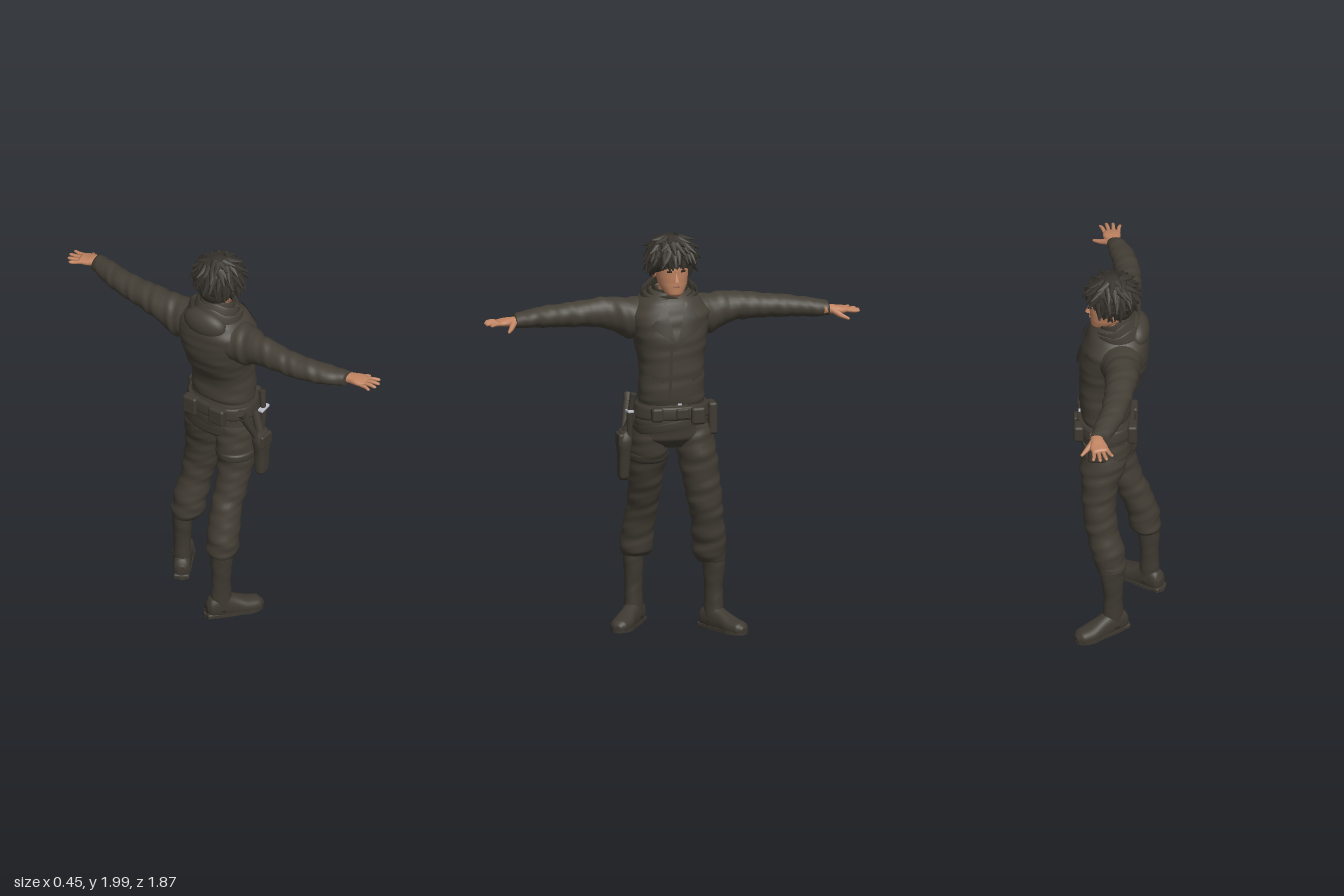
import * as THREE from 'three';
import { mergeGeometries } from 'three/addons/utils/BufferGeometryUtils.js';
import { RoundedBoxGeometry } from 'three/addons/geometries/RoundedBoxGeometry.js';

const V = (x, y, z) => new THREE.Vector3(x, y, z);
const mat = (name, color, side = THREE.FrontSide) => {
  const m = new THREE.MeshStandardMaterial({ color, side });
  m.name = name;
  return m;
};

// Closed skin over oval rings. Row: [along, centreU, centreV, radiusU, radiusV].
// Axis y uses u=x, v=z; axis z uses u=y, v=x; axis x uses u=z, v=y.
function loft(rows, axis, { fold = 0, power = 1, sides = 28, steps = 8, floor = -1 } = {}) {
  const centre = new THREE.CatmullRomCurve3(rows.map(r => V(r[0], r[1], r[2])));
  const radius = new THREE.CatmullRomCurve3(rows.map(r => V(r[3], r[4], 0)));
  const put = { y: (w, u, v) => [u, w, v], z: (w, u, v) => [v, u, w], x: (w, u, v) => [w, v, u] }[axis];
  const pos = [], index = [], n = (rows.length - 1) * steps;
  const soft = t => Math.sign(t) * Math.abs(t) ** power;
  const add = (w, u, v) => { const p = put(w, u, v); pos.push(p[0], Math.max(p[1], floor), p[2]); };
  for (let i = 0; i <= n; i++) {
    const c = centre.getPoint(i / n), r = radius.getPoint(i / n);
    for (let j = 0; j < sides; j++) {
      const a = j / sides * Math.PI * 2;
      const k = 1 + fold * (Math.sin(c.x * 75 + 2.5 * Math.sin(a + 1)) + 0.7 * Math.sin(c.x * 43 - 2 * a) + 0.5 * Math.sin(c.x * 120 + 3 * a));
      add(c.x, c.y + r.x * k * soft(Math.cos(a)), c.z + r.y * k * soft(Math.sin(a)));
    }
  }
  for (let i = 0; i < n; i++) for (let j = 0; j < sides; j++) {
    const a = i * sides + j, b = i * sides + (j + 1) % sides;
    index.push(a, a + sides, b, b, a + sides, b + sides);
  }
  const first = rows[0], last = rows[rows.length - 1], base = (n + 1) * sides;
  add(first[0], first[1], first[2]);
  add(last[0], last[1], last[2]);
  for (let j = 0; j < sides; j++) {
    const k = (j + 1) % sides;
    index.push(base, j, k, base + 1, n * sides + k, n * sides + j);
  }
  const g = new THREE.BufferGeometry();
  g.setAttribute('position', new THREE.Float32BufferAttribute(pos, 3));
  g.setIndex(index);
  g.computeVertexNormals();
  return g;
}

// Tapered rod between two points
function rod(a, b, r0, r1 = r0, sides = 12) {
  const d = b.clone().sub(a), g = new THREE.CylinderGeometry(r1, r0, d.length(), sides);
  g.applyQuaternion(new THREE.Quaternion().setFromUnitVectors(V(0, 1, 0), d.normalize()));
  const m = a.clone().add(b).multiplyScalar(0.5);
  return g.translate(m.x, m.y, m.z);
}

const torsoRows = [
  [1.17, 0.06, 0, 0.115, 0.158], [1.2, 0.06, 0.003, 0.124, 0.162], [1.3, 0.06, 0, 0.128, 0.158],
  [1.4, 0.036, 0, 0.152, 0.163], [1.5, 0.02, 0, 0.166, 0.183], [1.6, 0.006, 0, 0.158, 0.2],
  [1.67, 0, 0, 0.135, 0.155], [1.72, 0, 0, 0.09, 0.09]];

// Cloth panel laid on the chest; corners are [y, z]
function chestPatch(c, lift) {
  const g = new THREE.PlaneGeometry(1, 1, 8, 8), p = g.attributes.position, mix = THREE.MathUtils.lerp;
  for (let i = 0; i < p.count; i++) {
    const s = p.getX(i) + 0.5, t = p.getY(i) + 0.5;
    const at = k => mix(mix(c[0][k], c[1][k], s), mix(c[3][k], c[2][k], s), t);
    const y = at(0), z = at(1);
    const n = Math.max(0, torsoRows.findIndex(r => r[0] > y) - 1), A = torsoRows[n], B = torsoRows[n + 1];
    const f = (y - A[0]) / (B[0] - A[0]), q = k => mix(A[k], B[k], f);
    const x = q(1) + q(3) * Math.max(0, 1 - Math.abs(z / q(4)) ** 2.35) ** 0.425;
    p.setXYZ(i, x + lift, y, z);
  }
  g.computeVertexNormals();
  return g;
}

export function createModel() {
  const root = new THREE.Group();
  const jacket = mat('jacket cloth', 0x443f36), trim = mat('jacket trim', 0x3f3a32, THREE.DoubleSide);
  const trouser = mat('trouser cloth', 0x423d34), leather = mat('leather', 0x3e3931);
  const hairMat = mat('dark hair', 0x37332d), skin = mat('skin', 0xc08462);
  const metal = mat('metal', 0xb8bac4), dark = mat('eye dark', 0x2a2420), lip = mat('lips', 0x9c6450);
  const add = (name, g, m, parent = root) => {
    const mesh = new THREE.Mesh(g, m);
    mesh.name = name;
    parent.add(mesh);
    return mesh;
  };

  // Jacket body, lapels and front closure
  add('jacketBody', loft(torsoRows, 'y', { fold: 0.008, power: 0.85, sides: 40 }), jacket);
  add('rightLapel', chestPatch([[1.47, 0.01], [1.57, 0.125], [1.6, 0.1], [1.68, 0.05]], 0.013), trim);
  add('leftLapel', chestPatch([[1.45, 0.015], [1.57, -0.14], [1.61, -0.11], [1.68, -0.05]], 0.016), trim);
  add('frontFlap', chestPatch([[1.2, 0.05], [1.2, 0.035], [1.46, 0.025], [1.46, 0.04]], 0.012), trim);
  for (const s of [1, -1]) add('pocketFlap', chestPatch([[1.29, s * 0.07], [1.31, s * 0.125], [1.33, s * 0.125], [1.31, s * 0.07]], 0.01), trim);

  // Scarf and hood rolls, lower at the front
  const roll = (name, x, y, rx, rz, r, tilt) => {
    const g = new THREE.TorusGeometry(1, r, 14, 48).rotateX(Math.PI / 2).scale(rx, 1, rz);
    const p = g.attributes.position;
    for (let i = 0; i < p.count; i++) {
      const a = Math.atan2(p.getZ(i), p.getX(i));
      p.setY(i, p.getY(i) * (1 + 0.15 * Math.sin(5 * a)) + 0.006 * Math.sin(3 * a + x * 90));
    }
    g.rotateZ(-tilt).translate(x, y, -0.003);
    g.computeVertexNormals();
    add(name, g, jacket);
  };
  roll('hoodRoll', -0.005, 1.675, 0.115, 0.135, 0.045, 0.32);
  roll('scarfMiddle', 0.01, 1.695, 0.1, 0.11, 0.042, 0.38);
  roll('scarfTop', 0.012, 1.725, 0.085, 0.085, 0.035, 0.36);
  const hood = add('hoodBack', new THREE.SphereGeometry(1, 24, 16), jacket);
  hood.scale.set(0.06, 0.075, 0.12);
  hood.position.set(-0.095, 1.67, 0);

  // Sleeves
  add('rightSleeve', loft([[0.1, 1.58, -0.01, 0.1, 0.11], [0.2, 1.575, -0.02, 0.1, 0.095], [0.3, 1.6, -0.043, 0.078, 0.066],
    [0.42, 1.602, -0.05, 0.064, 0.063], [0.5, 1.6, -0.048, 0.059, 0.062], [0.6, 1.602, -0.036, 0.053, 0.062],
    [0.7, 1.603, -0.012, 0.043, 0.058], [0.775, 1.602, 0.014, 0.034, 0.044]], 'z', { fold: 0.025 }), jacket);
  add('leftSleeve', loft([[-0.775, 1.59, 0.085, 0.036, 0.046], [-0.7, 1.592, 0.06, 0.046, 0.057], [-0.6, 1.597, 0.026, 0.053, 0.062],
    [-0.5, 1.6, 0.005, 0.058, 0.066], [-0.4, 1.604, -0.01, 0.065, 0.073], [-0.3, 1.6, -0.02, 0.077, 0.08],
    [-0.2, 1.575, -0.015, 0.1, 0.095], [-0.1, 1.58, -0.01, 0.1, 0.11]], 'z', { fold: 0.025 }), jacket);

  // Hands: palm, four fingers and a thumb
  const hand = (name, down) => {
    const h = new THREE.Group();
    h.name = name;
    add('palm', loft([[-0.03, 0, 0, 0.022, 0.028], [0.02, 0, 0.003, 0.022, 0.032], [0.06, 0.002, 0.006, 0.018, 0.043],
      [0.09, 0, 0.004, 0.014, 0.041], [0.1, 0, 0.004, 0.007, 0.032]], 'z', { power: 0.85 }), skin, h);
    [-0.029, -0.007, 0.015, 0.036].forEach((x, i) => {
      const len = [0.052, 0.07, 0.073, 0.06][i], out = x * 0.45;
      add('finger', loft([[0.08, 0, x, 0.008, 0.009], [0.09 + len * 0.5, 0.003, x + out * 0.5, 0.009, 0.0095],
        [0.083 + len, 0, x + out, 0.007, 0.008], [0.09 + len, 0, x + out, 0.002, 0.002]], 'z', { sides: 10, steps: 4 }), skin, h);
    });
    const a = V(0.02, 0, 0.015), b = V(0.062, down * 0.02, 0.045), c = V(0.092, down * 0.028, 0.068);
    add('thumbBase', rod(a, b, 0.017, 0.012), skin, h);
    add('thumbTip', rod(b, c, 0.012, 0.007), skin, h);
    for (const [p, r] of [[b, 0.012], [c, 0.007]]) add('thumbJoint', new THREE.SphereGeometry(r, 10, 8).translate(p.x, p.y, p.z), skin, h);
    root.add(h);
    return h;
  };
  const rh = hand('rightHand', -1);
  rh.position.set(0.022, 1.604, 0.77);
  rh.rotation.y = 0.12;
  const lh = hand('leftHand', 1);
  lh.position.set(0.098, 1.588, -0.772);
  lh.rotation.set(Math.PI - 0.1, -0.25, 0);

  // Head and face
  add('neck', rod(V(0, 1.62, 0), V(0.025, 1.78, -0.003), 0.06, 0.055, 24), skin);
  add('face', loft([[1.7, 0.095, -0.006, 0.025, 0.025], [1.715, 0.08, -0.006, 0.052, 0.046], [1.755, 0.053, -0.006, 0.083, 0.069],
    [1.8, 0.042, -0.006, 0.097, 0.079], [1.85, 0.036, -0.006, 0.104, 0.083], [1.91, 0.03, -0.006, 0.095, 0.078],
    [1.95, 0.03, -0.006, 0.05, 0.045]], 'y', { power: 0.93, steps: 6 }), skin);
  const nose = add('nose', new THREE.ConeGeometry(0.014, 0.055, 10), skin);
  nose.position.set(0.14, 1.807, -0.006);
  nose.rotation.z = 0.22;
  add('mouth', new RoundedBoxGeometry(0.009, 0.008, 0.036, 2, 0.003).translate(0.136, 1.757, -0.006), lip);
  for (const s of [1, -1]) {
    const z = -0.006 + s * 0.034;
    add('eye', new RoundedBoxGeometry(0.009, 0.01, 0.026, 2, 0.003).rotateY(-s * 0.35).translate(0.133, 1.832, z), dark);
    add('eyebrow', new RoundedBoxGeometry(0.009, 0.007, 0.034, 2, 0.003).rotateY(-s * 0.35).translate(0.134, 1.85, z), hairMat);
    const ear = add('ear', new THREE.SphereGeometry(1, 12, 8), skin);
    ear.scale.set(0.02, 0.03, 0.012);
    ear.position.set(0.025, 1.81, -0.006 + s * 0.084);
  }

  // Hair: cap with layered locks, short over the face and long at the nape
  let seed = 7;
  const rnd = () => (seed = seed * 16807 % 2147483647) / 2147483647;
  const locks = [new THREE.SphereGeometry(1, 32, 20).scale(0.117, 0.105, 0.111).translate(0.028, 1.883, -0.005),
    new THREE.SphereGeometry(1, 20, 14).scale(0.08, 0.085, 0.09).translate(-0.005, 1.83, -0.005)];
  const lock = (a, e, len) => {
    const out = V(Math.cos(a) * Math.cos(e), Math.sin(e), Math.sin(a) * Math.cos(e));
    const fall = V(Math.cos(a) * Math.sin(e), -Math.cos(e), Math.sin(a) * Math.sin(e));
    const side = V(-Math.sin(a), 0, Math.cos(a)).multiplyScalar((rnd() - 0.5) * 0.9);
    const start = out.clone().multiply(V(0.111, 0.098, 0.106)).add(V(0.028, 1.883, -0.005));
    const tip = start.clone().addScaledVector(fall.add(side).addScaledVector(out, 0.2).normalize(), len);
    locks.push(rod(start.addScaledVector(out, -0.006), tip, 0.024, 0.003, 8));
  };
  for (const [e, count, len] of [[1.2, 10, 0.07], [0.85, 18, 0.075], [0.45, 24, 0.075], [0.1, 26, 0.075], [-0.3, 26, 0.07], [-0.65, 24, 0.075]]) {
    for (let i = 0; i < count; i++) {
      const a = (i + rnd() * 0.6) / count * Math.PI * 2 - Math.PI;
      const lowest = Math.abs(a) < 0.85 ? 0.05 : Math.abs(a) < 1.7 ? -0.35 : -1;
      if (e >= lowest) lock(a, e + (rnd() - 0.5) * 0.15, len * (0.8 + rnd() * 0.4) * (Math.abs(a) < 0.85 && e < 0.3 ? 0.75 : 1));
    }
  }
  add('hair', mergeGeometries(locks), hairMat);

  // Trousers
  add('trouserSeat', loft([[0.95, 0.05, -0.006, 0.08, 0.1], [1.0, 0.048, -0.006, 0.128, 0.19], [1.08, 0.052, 0, 0.135, 0.185],
    [1.19, 0.058, 0, 0.116, 0.158]], 'y', { fold: 0.006, power: 0.9 }), trouser);
  add('rightTrouserLeg', loft([[0.36, -0.137, 0.13, 0.066, 0.068], [0.385, -0.13, 0.128, 0.078, 0.08], [0.46, -0.122, 0.127, 0.078, 0.081],
    [0.6, -0.078, 0.115, 0.08, 0.077], [0.7, -0.035, 0.113, 0.084, 0.08], [0.82, 0.004, 0.112, 0.093, 0.086],
    [0.95, 0.03, 0.102, 0.115, 0.097], [1.06, 0.045, 0.1, 0.11, 0.09]], 'y', { fold: 0.024 }), trouser);
  add('leftTrouserLeg', loft([[0.35, 0.03, -0.205, 0.066, 0.066], [0.385, 0.036, -0.193, 0.078, 0.08], [0.46, 0.048, -0.19, 0.08, 0.083],
    [0.6, 0.08, -0.17, 0.08, 0.083], [0.7, 0.09, -0.153, 0.082, 0.088], [0.82, 0.088, -0.134, 0.09, 0.094],
    [0.95, 0.07, -0.116, 0.113, 0.098], [1.06, 0.058, -0.1, 0.11, 0.09]], 'y', { fold: 0.024 }), trouser);

  // Boots, toes turned outward
  for (const [name, x, z, turn, wide] of [['rightBoot', -0.15, 0.138, -0.64, 1], ['leftBoot', 0.024, -0.221, 0.56, 1.1]]) {
    const b = new THREE.Group();
    b.name = name;
    b.position.set(x, 0, z);
    b.rotation.y = turn;
    root.add(b);
    add('bootShaft', loft([[0.04, 0, 0, 0.055, 0.045], [0.12, -0.002, 0, 0.052, 0.043], [0.2, -0.002, 0, 0.047, 0.043],
      [0.3, 0, 0, 0.053 * wide, 0.048], [0.4, 0, 0, 0.056 * wide, 0.052]], 'y', { fold: 0.012 }), leather, b);
    add('bootFoot', loft([[-0.078, 0, 0.05, 0.02, 0.025], [-0.06, 0, 0.055, 0.04, 0.05], [0, 0, 0.06, 0.044, 0.07],
      [0.06, 0, 0.045, 0.045, 0.06], [0.13, 0, 0.033, 0.052, 0.042], [0.185, 0, 0.03, 0.044, 0.034],
      [0.21, 0, 0.027, 0.018, 0.015]], 'x', { power: 0.85, floor: 0.012 }), leather, b);
    const sole = new THREE.Shape();
    sole.moveTo(-0.075, 0.03);
    sole.bezierCurveTo(-0.095, 0, -0.095, 0, -0.075, -0.03);
    sole.bezierCurveTo(0, -0.055, 0.06, -0.04, 0.13, -0.056);
    sole.bezierCurveTo(0.24, -0.05, 0.24, 0.05, 0.13, 0.056);
    sole.bezierCurveTo(0.06, 0.04, 0, 0.055, -0.075, 0.03);
    const g = new THREE.ExtrudeGeometry(sole, { depth: 0.016, bevelEnabled: false, curveSegments: 10 }).rotateX(-Math.PI / 2);
    add('bootSole', g.translate(0, 0.006, 0), leather, b);
    add('bootHeel', new RoundedBoxGeometry(0.07, 0.03, 0.078, 2, 0.01).translate(-0.046, 0.015, 0), leather, b);
  }

  // Belts with buckle and pouches
  add('waistBelt', loft([[1.1, 0.057, 0, 0.14, 0.187], [1.11, 0.057, 0, 0.145, 0.19], [1.155, 0.058, 0, 0.142, 0.18],
    [1.165, 0.058, 0, 0.135, 0.174]], 'y', { power: 0.9, steps: 3, sides: 40 }), leather);
  const sling = new THREE.TorusGeometry(1, 0.014, 10, 48).rotateX(Math.PI / 2).scale(0.14, 1.6, 0.19);
  add('slungBelt', sling.rotateX(0.18).translate(0.055, 1.075, 0), leather);
  add('buckle', new RoundedBoxGeometry(0.02, 0.05, 0.06, 2, 0.006).translate(0.205, 1.135, -0.02), leather);
  add('beltStud', new RoundedBoxGeometry(0.01, 0.01, 0.02, 2, 0.003).translate(0.187, 1.178, -0.01), metal);
  for (const [x, y, z, w, h, d] of [[0.19, 1.12, -0.1, 0.05, 0.085, 0.07], [0.1, 1.085, -0.19, 0.09, 0.16, 0.045],
    [-0.07, 1.12, -0.1, 0.05, 0.1, 0.08], [-0.075, 1.12, 0.06, 0.045, 0.09, 0.09], [0.17, 1.13, 0.1, 0.06, 0.07, 0.06]])
    add('beltPouch', new RoundedBoxGeometry(w, h, d, 3, 0.014).translate(x, y, z), leather);

  // Thigh holster, its straps and the hanging knife
  add('holster', loft([[0.785, 0.045, 0.238, 0.025, 0.018], [0.8, 0.045, 0.238, 0.036, 0.026], [0.9, 0.05, 0.236, 0.042, 0.03],
    [0.98, 0.05, 0.234, 0.052, 0.036], [1.03, 0.045, 0.225, 0.04, 0.03]], 'y', { power: 0.7, steps: 5 }), leather);
  add('holsterFlap', new RoundedBoxGeometry(0.085, 0.07, 0.03, 3, 0.012).translate(0.05, 0.985, 0.255), leather);
  add('holsterHanger', rod(V(0.05, 1.02, 0.225), V(0.06, 1.13, 0.185), 0.022), leather);
  add('thighStrap', loft([[0.87, 0.015, 0.108, 0.102, 0.092], [0.88, 0.016, 0.108, 0.109, 0.098], [0.905, 0.02, 0.107, 0.112, 0.1],
    [0.915, 0.022, 0.106, 0.106, 0.094]], 'y', { steps: 3 }), leather);
  add('knifeSheath', rod(V(0.01, 1.02, 0.225), V(-0.045, 1.15, 0.195), 0.016, 0.022), leather);
  add('knifeGrip', rod(V(-0.045, 1.15, 0.195), V(-0.065, 1.185, 0.19), 0.018, 0.022), leather);
  add('daggerGrip', rod(V(0.09, 1.13, 0.215), V(0.103, 1.225, 0.2), 0.013, 0.017), leather);
  add('daggerSheath', rod(V(0.08, 1.0, 0.215), V(0.09, 1.13, 0.215), 0.012, 0.018), leather);
  add('daggerGuard', new RoundedBoxGeometry(0.065, 0.014, 0.03, 2, 0.005).rotateZ(0.12).translate(0.09, 1.135, 0.217), metal);
  return root;
}
